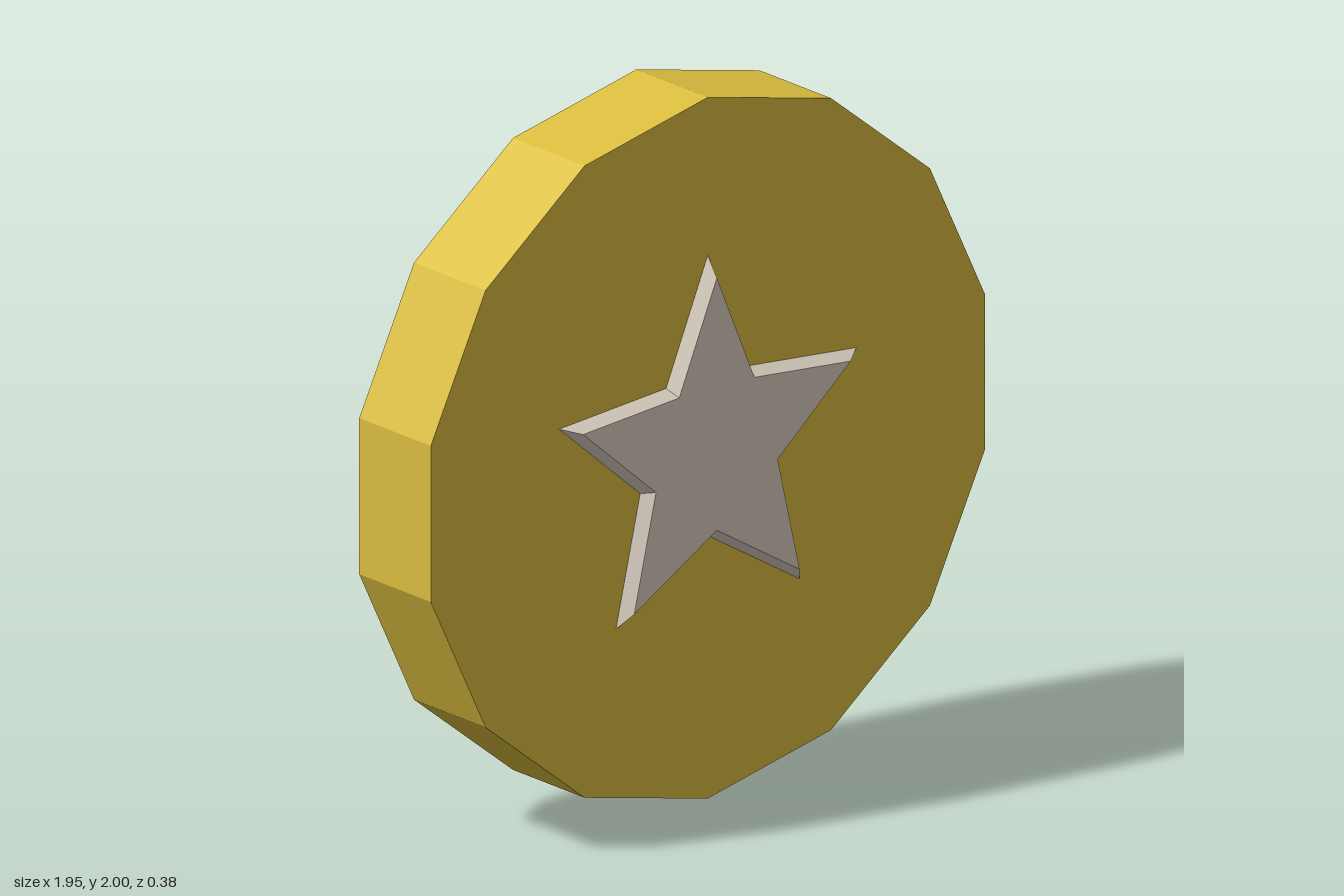
import * as THREE from 'three';

const RADIUS = 1, HALF_DEPTH = 0.15;
const STAR_OUTER = 0.55, STAR_INNER = 0.25, STAR_HEIGHT = 0.038, STAR_TAPER = 0.9;

// Ten-sided frustum whose alternate corners are pulled in to form a bevelled star
function starGeometry() {
  const geo = new THREE.CylinderGeometry(STAR_TAPER, 1, STAR_HEIGHT, 10);
  const pos = geo.attributes.position;
  for (let i = 0; i < pos.count; i++) {
    const x = pos.getX(i), z = pos.getZ(i);
    const corner = Math.round(Math.atan2(x, z) / (Math.PI / 5));
    const r = corner % 2 === 0 ? STAR_INNER : STAR_OUTER;
    pos.setX(i, x * r);
    pos.setZ(i, z * r);
  }
  geo.rotateX(Math.PI / 2);
  geo.translate(0, 0, HALF_DEPTH + STAR_HEIGHT / 2);
  geo.computeVertexNormals();
  return geo;
}

export function createModel() {
  const gold = new THREE.MeshStandardMaterial({ color: 0xdcbf40, flatShading: true });
  gold.name = 'gold';
  const silver = new THREE.MeshStandardMaterial({ color: 0xdcd1c3, flatShading: true });
  silver.name = 'silver';

  const coin = new THREE.Group();
  coin.name = 'coin';

  // Fourteen-sided disc standing on a corner
  const discGeo = new THREE.CylinderGeometry(RADIUS, RADIUS, HALF_DEPTH * 2, 14);
  discGeo.rotateX(Math.PI / 2);
  const disc = new THREE.Mesh(discGeo, gold);
  disc.name = 'disc';
  disc.position.y = RADIUS;
  coin.add(disc);

  // Raised star on each face
  const starGeo = starGeometry();
  for (const [name, turn] of [['frontStar', 0], ['backStar', Math.PI]]) {
    const star = new THREE.Mesh(starGeo, silver);
    star.name = name;
    star.position.y = RADIUS;
    star.rotation.y = turn;
    coin.add(star);
  }
  return coin;
}
